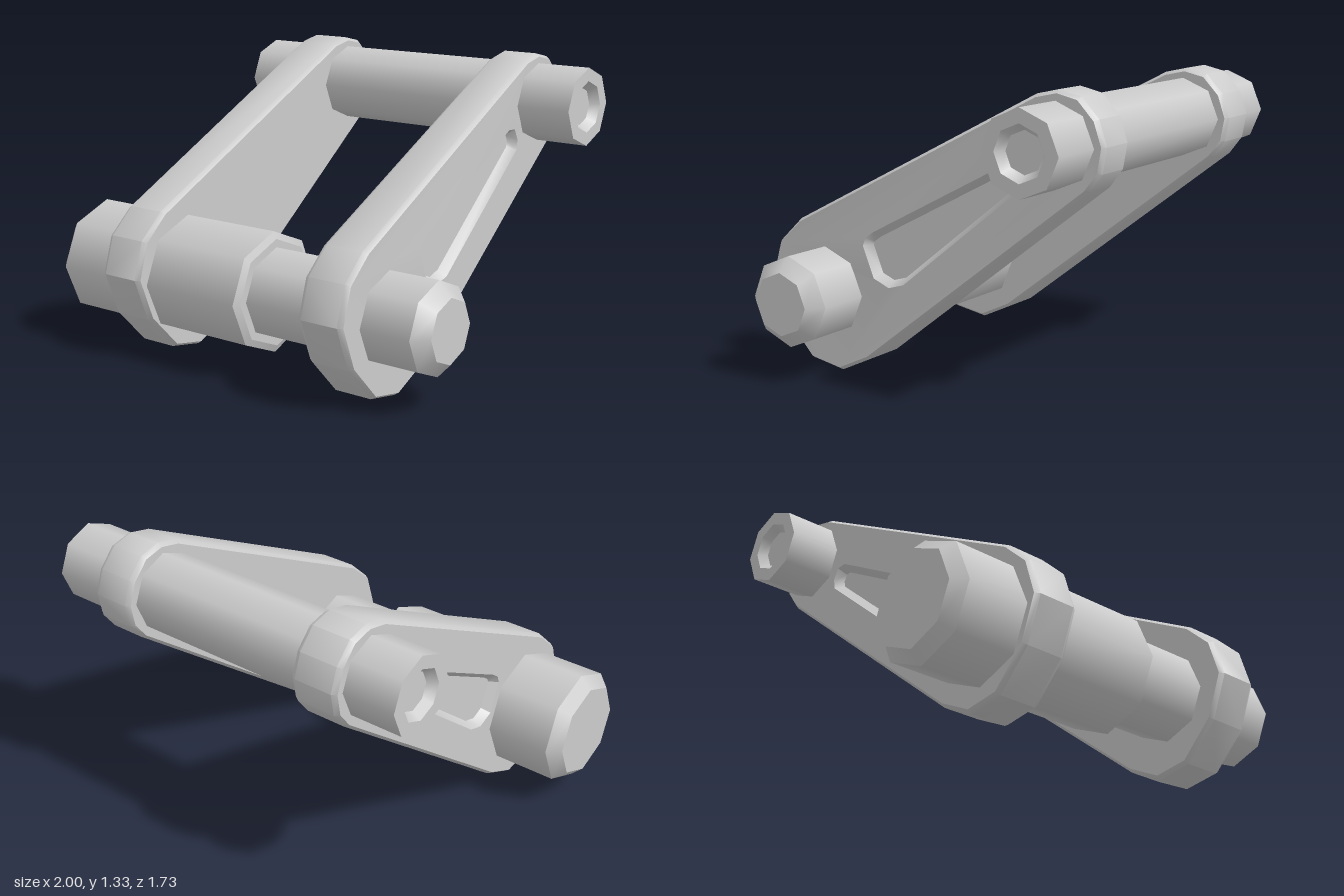
import * as THREE from 'three';
import { mergeGeometries, toCreasedNormals } from 'three/addons/utils/BufferGeometryUtils.js';

const grey = new THREE.MeshStandardMaterial({ color: 0xcccccc });

// Eight-sided turned part along x; each profile step [x, radius] keeps sharp rims
function turned(name, profile, y, z) {
  const bands = [];
  for (let i = 0; i < profile.length - 1; i++) {
    const pts = [profile[i], profile[i + 1]].map(([x, r]) => new THREE.Vector2(r, x));
    bands.push(new THREE.LatheGeometry(pts, 8));
  }
  const mesh = new THREE.Mesh(mergeGeometries(bands).rotateZ(-Math.PI / 2), grey);
  mesh.name = name;
  mesh.position.set(0, y, z);
  return mesh;
}

// Side outlines as [z, y]; converted to counter-clockwise loops seen from +x
const toLoop = (list) => list.map(([z, y]) => new THREE.Vector2(-z, y)).reverse();

const armOutline = toLoop([
  [0.867, 0.394], [0.816, 0.562], [0.695, 0.674], [-0.545, 1.308], [-0.648, 1.331],
  [-0.75, 1.308], [-0.83, 1.224], [-0.867, 1.117], [-0.848, 1.009], [-0.788, 0.93],
  [0.308, 0.082], [0.471, 0.005], [0.639, 0.035], [0.793, 0.198],
]);

const pocketOutline = toLoop([
  [0.326, 0.594], [0.312, 0.63], [0.27, 0.66], [-0.4, 1.01], [-0.448, 1.005],
  [-0.475, 0.954], [-0.466, 0.907], [0.112, 0.445], [0.19, 0.422], [0.27, 0.455],
]);

// Move every edge of a loop inwards by d
function inset(loop, d) {
  const n = loop.length;
  const normal = (a, b) => new THREE.Vector2(a.y - b.y, b.x - a.x).normalize();
  return loop.map((p, i) => {
    const n1 = normal(loop[(i + n - 1) % n], p);
    const n2 = normal(p, loop[(i + 1) % n]);
    const k = d / (1 + n1.dot(n2));
    return p.clone().add(n1.add(n2).multiplyScalar(k));
  });
}

// Chamfered link arm with a sunken pocket on its outer face
function arm(name, side, innerX, taper) {
  const width = 0.225, chamfer = 0.022, depth = 0.04;
  const pos = [];
  const put = ([p, w]) => {
    // the outer face thins slightly towards the upper pin
    const t = THREE.MathUtils.clamp((p.x + 0.35) / 0.8, 0, 1);
    const x = w > width / 2 ? w - taper * t : w;
    pos.push(side * (innerX + x), p.y, -p.x);
  };
  const tri = (a, b, c) => (side > 0 ? [a, b, c] : [a, c, b]).forEach(put);
  const wall = (l0, w0, l1, w1) => l0.forEach((a, i) => {
    const j = (i + 1) % l0.length;
    tri([a, w0], [l0[j], w0], [l1[j], w1]);
    tri([a, w0], [l1[j], w1], [l1[i], w1]);
  });
  const cap = (loop, w, holes = [], down = false) => {
    const all = loop.concat(...holes);
    for (const [a, b, c] of THREE.ShapeUtils.triangulateShape(loop, holes)) {
      const p = [all[a], w], q = [all[b], w], r = [all[c], w];
      if (down) tri(p, r, q); else tri(p, q, r);
    }
  };

  // Rim with chamfers
  const face = inset(armOutline, 0.014);
  wall(face, 0, armOutline, chamfer);
  wall(armOutline, chamfer, armOutline, width - chamfer);
  wall(armOutline, width - chamfer, face, width);
  // Inner face, outer face, pocket wall and pocket floor
  const floor = inset(pocketOutline, 0.027);
  cap(face, 0, [], true);
  cap(face, width, [pocketOutline.slice().reverse()]);
  wall(pocketOutline, width, floor, width - depth);
  cap(floor, width - depth);

  const geo = new THREE.BufferGeometry();
  geo.setAttribute('position', new THREE.Float32BufferAttribute(pos, 3));
  const mesh = new THREE.Mesh(toCreasedNormals(geo, 0.62), grey);
  mesh.name = name;
  return mesh;
}

export function createModel() {
  const group = new THREE.Group();
  group.name = 'linkAssembly';

  // Stepped lower pin with chamfered ends
  group.add(turned('lowerPin', [
    [-1, 0], [-1, 0.218], [-0.945, 0.272], [0.085, 0.272], [0.1, 0.24],
    [0.1, 0.203], [0.94, 0.203], [1, 0.14], [1, 0],
  ], 0.363, 0.543));

  // Straight upper pin with a socket in each end
  group.add(turned('upperPin', [
    [-0.85, 0], [-0.85, 0.088], [-0.89, 0.117], [-0.89, 0.178],
    [0.94, 0.178], [0.94, 0.117], [0.9, 0.088], [0.9, 0],
  ], 1.109, -0.643));

  group.add(arm('leftArm', 1, 0.475, 0.02));
  group.add(arm('rightArm', -1, 0.42, 0));
  return group;
}
